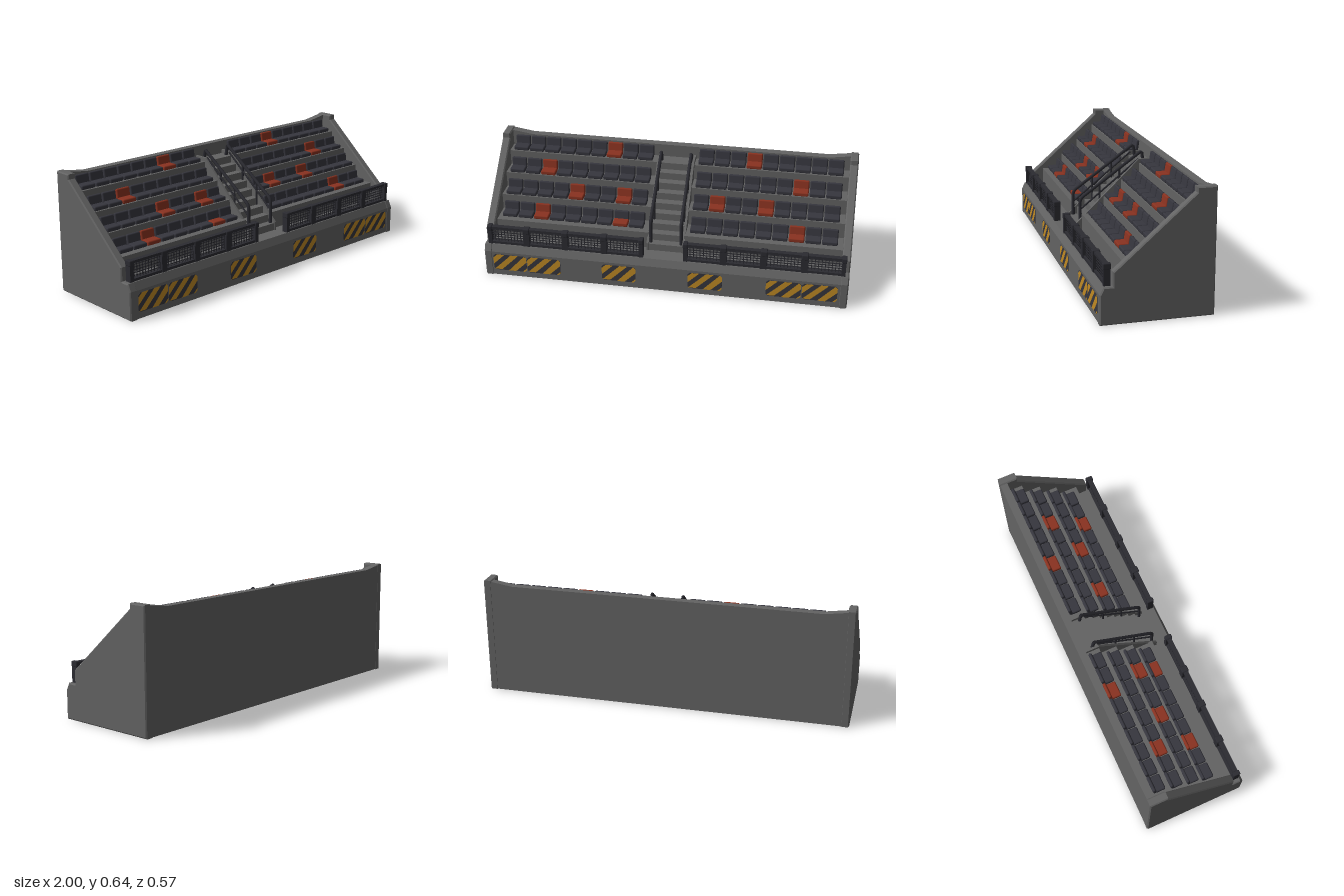
import * as THREE from 'three';
import { mergeGeometries } from 'three/addons/utils/BufferGeometryUtils.js';
import { RoundedBoxGeometry } from 'three/addons/geometries/RoundedBoxGeometry.js';

const mat = (name, color) => Object.assign(new THREE.MeshStandardMaterial({ color }), { name });

export function createModel() {
  const model = new THREE.Group();
  model.name = 'grandstand';
  const concrete = mat('concrete grey', 0x636363);
  const dark = mat('seat charcoal', 0x36363e);
  const metal = mat('rail black', 0x2b2b31);
  const red = mat('seat red', 0x8a3220);
  const yellow = mat('hazard yellow', 0xc08a24);

  const add = (name, geometry, material, parent = model) => {
    const mesh = new THREE.Mesh(geometry, material);
    mesh.name = name;
    parent.add(mesh);
    return mesh;
  };
  const shapeOf = (pts) => new THREE.Shape(pts.map((p) => new THREE.Vector2(p[0], p[1])));
  // Extrudes a (z, y) side profile across x, from x0 to x1
  const across = (pts, x0, x1, bevel = 0) => {
    const g = new THREE.ExtrudeGeometry(shapeOf(pts), {
      depth: x1 - x0 - 2 * bevel, bevelEnabled: bevel > 0, bevelSize: bevel,
      bevelThickness: bevel, bevelOffset: -bevel, bevelSegments: 1,
    });
    return g.rotateY(-Math.PI / 2).translate(x1 - bevel, 0, 0);
  };
  const box = (w, h, d, x, y, z) => new THREE.BoxGeometry(w, h, d).translate(x, y, z);

  // Seating tiers: front ledge followed by four steps
  const ledge = [[-0.27, 0.002], [0.283, 0.002], [0.283, 0.15], [0.265, 0.19]];
  const floors = [0.285, 0.375, 0.462, 0.55];
  const edges = [0.155, 0.033, -0.065, -0.165];
  const tierProfile = [...ledge];
  floors.forEach((y, i) => {
    tierProfile.push([edges[i], i ? floors[i - 1] : 0.19], [edges[i], y]);
  });
  tierProfile.push([-0.27, 0.55]);
  add('leftTiers', across(tierProfile, 0.1, 0.96), concrete);
  add('rightTiers', across(tierProfile, -0.96, -0.1), concrete);

  // Centre stairway
  const stairProfile = [...ledge];
  for (let i = 0; i < 9; i++) {
    const z = 0.18 - i * 0.043;
    stairProfile.push([z, 0.19 + 0.04 * i], [z, 0.23 + 0.04 * i]);
  }
  stairProfile.push([-0.27, 0.55]);
  add('stairs', across(stairProfile, -0.1, 0.1), concrete);

  // End walls with sloping top and raised rear block
  const endProfile = [[-0.285, 0], [0.285, 0], [0.285, 0.152], [0.267, 0.19], [0.22, 0.19],
    [0.22, 0.262], [-0.185, 0.618], [-0.185, 0.645], [-0.285, 0.645]];
  add('leftEndWall', across(endProfile, 0.955, 1, 0.006), concrete);
  add('rightEndWall', across(endProfile, -1, -0.955, 0.006), concrete);

  // Rear wall, flaring up toward both ends
  const rear = shapeOf([[-0.99, 0.002], [0.99, 0.002], [0.99, 0.64], [0.96, 0.64], [0.84, 0.622],
    [-0.84, 0.622], [-0.96, 0.64], [-0.99, 0.64]]);
  add('rearWall', new THREE.ExtrudeGeometry(rear, { depth: 0.04, bevelEnabled: false })
    .translate(0, 0, -0.284), concrete);

  // Seats: four rows of nine in each block, some with coloured cushions
  const cushionGeo = new RoundedBoxGeometry(0.084, 0.024, 0.056, 1, 0.007);
  const backGeo = new RoundedBoxGeometry(0.084, 0.064, 0.018, 1, 0.007);
  const seatZ = [0.093, 0, -0.098, -0.2];
  const redSeats = { right: [[2, 7], [4, 7], [2], [6]], left: [[6], [1, 4], [6], [3]] };
  for (const side of ['right', 'left']) {
    const block = new THREE.Group();
    block.name = side + 'Seats';
    model.add(block);
    for (let row = 0; row < 4; row++) {
      for (let i = 0; i < 9; i++) {
        const isRed = redSeats[side][row].includes(i);
        const backDark = side === 'right' && row === 0 && i === 7;
        const seat = new THREE.Group();
        seat.name = 'seat';
        seat.position.set((side === 'right' ? -0.89 : 0.167) + 0.0895 * i, floors[row], seatZ[row]);
        block.add(seat);
        add('cushion', cushionGeo, isRed ? red : dark, seat).position.set(0, 0.014, 0.006);
        const back = add('backrest', backGeo, isRed && !backDark ? red : dark, seat);
        back.position.set(0, 0.038, -0.026);
        back.rotation.x = -0.16;
      }
    }
  }

  // Stair handrails with posts and low side cheeks
  const railY = (z) => 0.365 + (0.16 - z) * 0.729;
  const cheek = [[0.185, 0.19], [0.185, 0.235], [-0.165, 0.572], [-0.24, 0.572], [-0.24, 0.5]];
  for (const s of [-1, 1]) {
    const x = s * 0.084;
    const path = new THREE.CurvePath();
    const v = (y, z) => new THREE.Vector3(x, y, z);
    path.add(new THREE.LineCurve3(v(0.2, 0.16), v(0.345, 0.16)));
    path.add(new THREE.QuadraticBezierCurve3(v(0.345, 0.16), v(0.366, 0.16), v(railY(0.14), 0.14)));
    path.add(new THREE.LineCurve3(v(railY(0.14), 0.14), v(0.612, -0.185)));
    path.add(new THREE.LineCurve3(v(0.612, -0.185), v(0.55, -0.195)));
    const parts = [new THREE.TubeGeometry(path, 60, 0.009, 8)];
    for (const z of [0.05, -0.06]) {
      const low = railY(z) - 0.14;
      parts.push(new THREE.CylinderGeometry(0.006, 0.006, 0.14, 8).translate(x, low + 0.07, z));
    }
    const mid = new THREE.LineCurve3(v(railY(0.16) - 0.06, 0.16), v(0.57, -0.17));
    parts.push(new THREE.TubeGeometry(mid, 1, 0.005, 6));
    add(s > 0 ? 'leftHandrail' : 'rightHandrail', mergeGeometries(parts), metal);
    add('stairCheek', across(cheek, s * 0.098 - 0.006, s * 0.098 + 0.006), concrete);
  }

  // Front barriers: framed wire-mesh panels between posts
  for (const s of [-1, 1]) {
    const x0 = 0.11, x1 = 0.978, pitch = (x1 - x0) / 4, z = 0.245;
    const frame = [], wires = [];
    const cx = s * (x0 + x1) / 2;
    frame.push(box(x1 - x0, 0.014, 0.026, cx, 0.29, z), box(x1 - x0, 0.014, 0.026, cx, 0.197, z));
    for (let i = 0; i <= 4; i++) {
      const end = i === 0 || i === 4;
      const x = s * (x0 + i * pitch + (i === 0 ? 0.011 : i === 4 ? -0.011 : 0));
      frame.push(box(end ? 0.022 : 0.034, 0.084, 0.034, x, 0.232, z));
      frame.push(new RoundedBoxGeometry(end ? 0.026 : 0.036, 0.03, 0.04, 1, 0.005)
        .toNonIndexed().translate(x, 0.286, z));
    }
    for (let i = 1; i < 48; i++) {
      wires.push(box(0.004, 0.09, 0.004, s * (x0 + (i * (x1 - x0)) / 48), 0.243, z));
    }
    for (let j = 1; j < 6; j++) wires.push(box(x1 - x0, 0.004, 0.004, cx, 0.2 + j * 0.0145, z));
    const name = s > 0 ? 'left' : 'right';
    add(name + 'BarrierFrame', mergeGeometries(frame.map((g) => (g.index ? g.toNonIndexed() : g))), metal);
    add(name + 'BarrierMesh', mergeGeometries(wires), metal);
  }

  // Hazard plates with diagonal stripes on the front face
  const c = 0.012, w = 0.094, h = 0.1;
  const plateGeo = new THREE.ExtrudeGeometry(shapeOf([[-w + c, 0], [w - c, 0], [w, c], [w, h - c],
    [w - c, h], [-w + c, h], [-w, h - c], [-w, c]]), { depth: 0.002, bevelEnabled: false });
  const stripeGeo = new THREE.ShapeGeometry([
    [[-0.09, 0.004], [-0.048, 0.004], [0.048, h], [0.006, h]],
    [[-0.01, 0], [0.032, 0], [w, 0.062], [w, 0.088], [0.082, h]],
    [[-w, 0.036], [-0.03, h], [-0.07, h], [-w, 0.078]],
    [[0.07, 0], [0.082, 0], [w, 0.012], [w, 0.024]],
  ].map(shapeOf));
  for (const x of [-0.857, -0.664, -0.242, 0.233, 0.658, 0.851]) {
    add('hazardPlate', plateGeo, dark).position.set(x, 0.036, 0.2828);
    add('hazardStripes', stripeGeo, yellow).position.set(x, 0.036, 0.2856);
  }
  return model;
}
